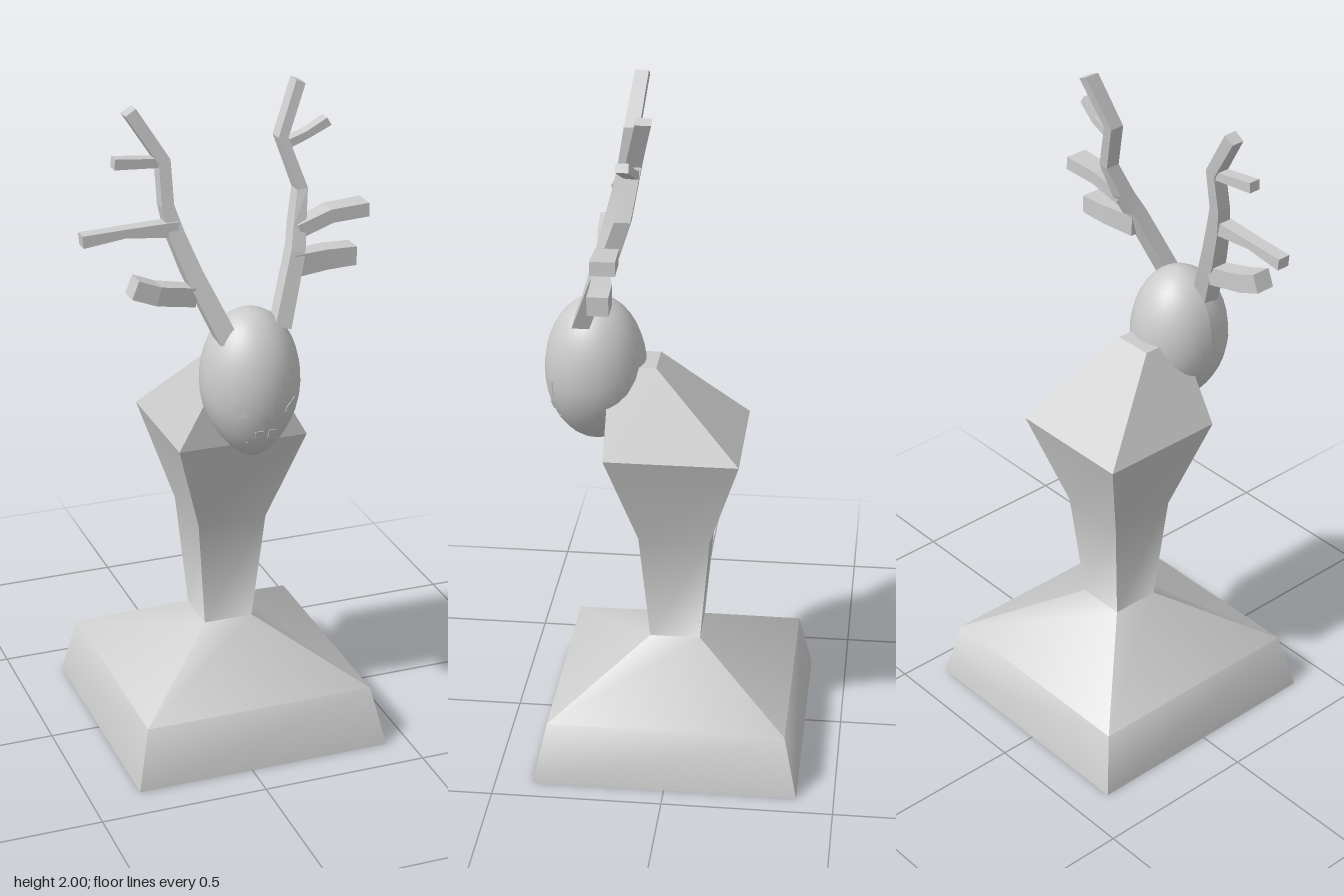
import * as THREE from 'three';
import { toCreasedNormals } from 'three/addons/utils/BufferGeometryUtils.js';

const CX = 0.04; // axis of the bust
const grey = () => new THREE.MeshStandardMaterial({ color: 0xcccccc });

// Skin a list of four-cornered rings and cap both ends
function loft(rings, crease = 0.1) {
  const pos = [];
  const quad = (a, b, c, d) => [a, b, c, a, c, d].forEach((p) => pos.push(...p));
  for (let r = 0; r < rings.length - 1; r++) {
    for (let i = 0; i < 4; i++) {
      const j = (i + 1) % 4;
      quad(rings[r][i], rings[r][j], rings[r + 1][j], rings[r + 1][i]);
    }
  }
  const [a, b, c, d] = rings[0];
  quad(d, c, b, a);
  quad(...rings[rings.length - 1]);
  const g = new THREE.BufferGeometry();
  g.setAttribute('position', new THREE.Float32BufferAttribute(pos, 3));
  return toCreasedNormals(g, crease);
}

// Horizontal rectangle at height y
const rect = (y, hx, z0, z1) => [[CX - hx, y, z1], [CX + hx, y, z1], [CX + hx, y, z0], [CX - hx, y, z0]];

// Rectangular bar along points [x, y, z, width, depth]; the depth lies along z
function branch(points) {
  const rings = points.map(([x, y, z, w, d], i) => {
    const p = points[Math.max(0, i - 1)];
    const q = points[Math.min(points.length - 1, i + 1)];
    const t = new THREE.Vector2(q[0] - p[0], q[1] - p[1]).normalize();
    return [[-1, -1], [1, -1], [1, 1], [-1, 1]].map(([s, k]) => [
      x - (t.y * s * w) / 2, y + (t.x * s * w) / 2, z + (k * d) / 2,
    ]);
  });
  return loft(rings);
}

// Egg-shaped head surface, narrowing in width towards the chin
const HEAD = { y: 1.18, z: 0.237, rx: 0.142, ry: 0.22, rz: 0.148 };
const narrow = (t) => (t < 0 ? 1 - 0.3 * t * t : 1 + 0.06 * t);
function headFront(x, y) {
  const t = (y - HEAD.y) / HEAD.ry;
  const u = (x - CX) / (HEAD.rx * narrow(t));
  return HEAD.z + HEAD.rz * Math.sqrt(Math.max(0, 1 - t * t - u * u));
}

export function createModel() {
  const model = new THREE.Group();
  const add = (name, geometry, parent = model) => {
    const mesh = new THREE.Mesh(geometry, grey());
    mesh.name = name;
    parent.add(mesh);
    return mesh;
  };

  // Square pedestal flaring into the shoulders
  const profile = [[0, 0.39], [0.18, 0.35], [0.34, 0.075], [0.68, 0.105], [0.97, 0.195]];
  add('pedestal', loft(profile.map(([y, h]) => rect(y, h, -h, h)), 1.25));

  // Neck wedge leaning forward into the head
  add('neck', loft([rect(0.97, 0.195, -0.195, 0.195), rect(1.21, 0.06, 0.055, 0.19)]));

  // Head
  const head = new THREE.SphereGeometry(1, 32, 20);
  const p = head.attributes.position;
  for (let i = 0; i < p.count; i++) {
    const t = p.getY(i);
    p.setXYZ(i, CX + p.getX(i) * HEAD.rx * narrow(t), HEAD.y + t * HEAD.ry, HEAD.z + p.getZ(i) * HEAD.rz);
  }
  head.computeVertexNormals();
  add('head', head);

  // Small angular patch lying on the head, from corner points in x, y
  const patch = (corners, lift) => {
    const ring = (d) => corners.map(([x, y]) => [x, y, headFront(x, y) + d]);
    return loft([ring(-0.02), ring(lift)]);
  };

  // Eyes and nostrils, mirrored about the axis
  const mirrored = (name, corners, lift) => {
    for (const s of [1, -1]) {
      const c = corners.map(([x, y]) => [CX + s * x, y]);
      add((s > 0 ? 'left' : 'right') + name, patch(s > 0 ? c : c.reverse(), lift));
    }
  };
  mirrored('Eye', [[0.058, 1.13], [0.082, 1.12], [0.09, 1.165], [0.06, 1.145]], 0.003);
  mirrored('Nostril', [[0.008, 1.055], [0.026, 1.055], [0.032, 1.08], [0.008, 1.083]], 0.003);

  // Flat mouth below the nose
  add('mouth', patch([[CX - 0.03, 0.985], [CX + 0.03, 0.985], [CX + 0.047, 1.04], [CX - 0.047, 1.04]], 0.003));

  // Antlers: one bent beam and three tines each
  const antlers = {
    rightAntler: {
      beam: [[-0.04, 1.33, 0.265, 0.055, 0.055], [-0.125, 1.52, 0.215, 0.05, 0.055], [-0.165, 1.63, 0.19, 0.045, 0.05],
        [-0.185, 1.71, 0.175, 0.035, 0.045], [-0.187, 1.83, 0.155, 0.035, 0.045], [-0.275, 1.97, 0.135, 0.036, 0.04]],
      lowerTine: [[-0.12, 1.455, 0.225, 0.055, 0.05], [-0.235, 1.478, 0.235, 0.055, 0.06], [-0.303, 1.505, 0.235, 0.055, 0.06]],
      middleTine: [[-0.16, 1.645, 0.19, 0.045, 0.045], [-0.31, 1.648, 0.185, 0.025, 0.04], [-0.43, 1.637, 0.183, 0.035, 0.04]],
      upperTine: [[-0.185, 1.825, 0.155, 0.025, 0.035], [-0.33, 1.838, 0.163, 0.03, 0.036]],
    },
    leftAntler: {
      beam: [[0.12, 1.35, 0.265, 0.05, 0.05], [0.19, 1.54, 0.195, 0.045, 0.05], [0.205, 1.6, 0.165, 0.04, 0.05],
        [0.227, 1.7, 0.13, 0.032, 0.045], [0.178, 1.845, 0.105, 0.03, 0.045], [0.242, 1.99, 0.07, 0.03, 0.045]],
      lowerTine: [[0.18, 1.5, 0.2, 0.065, 0.05], [0.28, 1.505, 0.185, 0.06, 0.06], [0.37, 1.505, 0.183, 0.055, 0.06]],
      middleTine: [[0.205, 1.59, 0.17, 0.04, 0.05], [0.3, 1.625, 0.165, 0.04, 0.065], [0.412, 1.632, 0.163, 0.04, 0.07]],
      upperTine: [[0.185, 1.82, 0.105, 0.025, 0.035], [0.25, 1.845, 0.108, 0.022, 0.035], [0.31, 1.882, 0.12, 0.026, 0.036]],
    },
  };
  for (const [name, parts] of Object.entries(antlers)) {
    const antler = new THREE.Group();
    antler.name = name;
    for (const [part, points] of Object.entries(parts)) add(part, branch(points), antler);
    model.add(antler);
  }
  return model;
}
